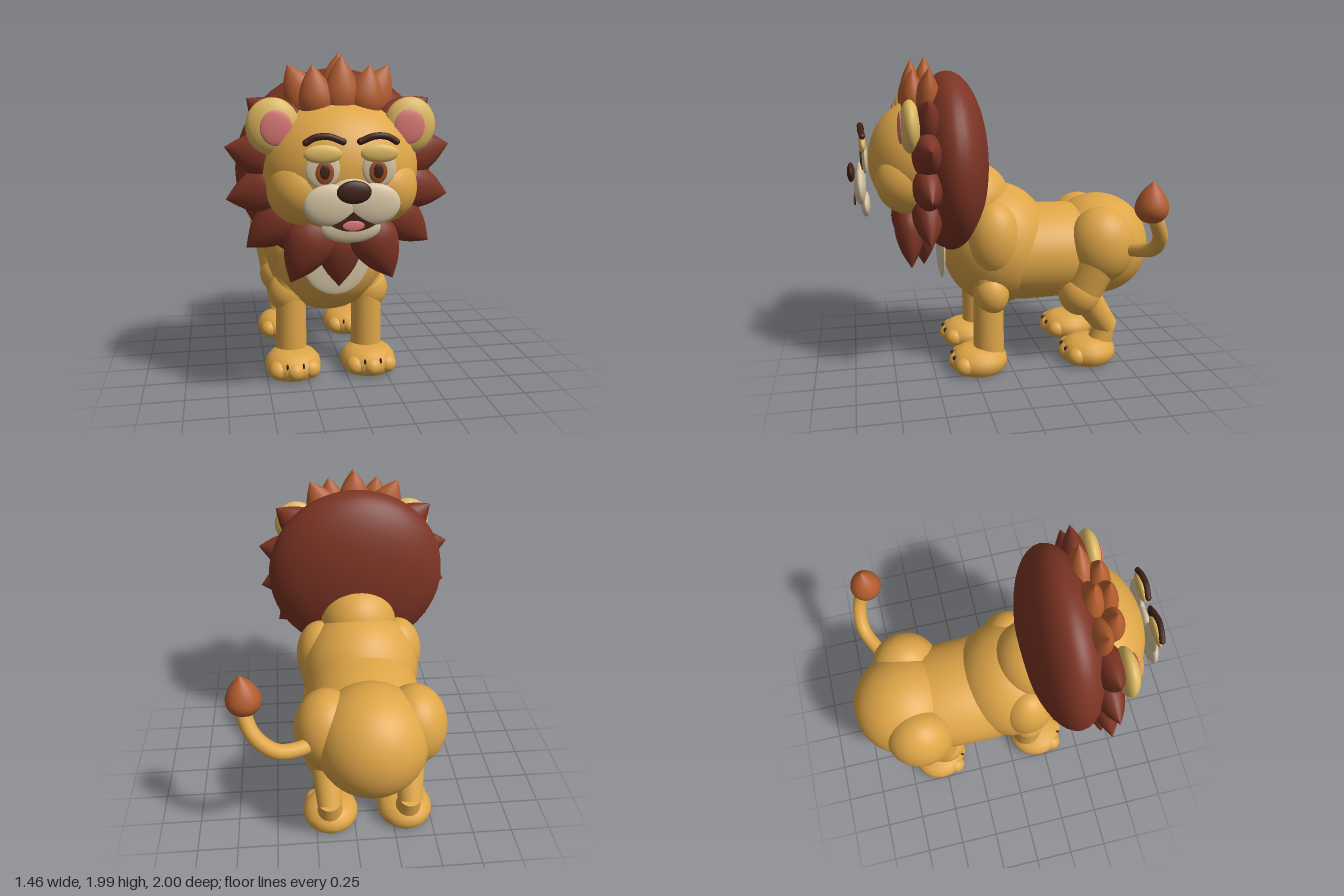
import * as THREE from 'three';

const mat = (name, color) => {
  const m = new THREE.MeshStandardMaterial({ color });
  m.name = name;
  return m;
};

export function createModel() {
  const fur = mat('golden fur', 0xdfa648);
  const maneMat = mat('dark mane', 0x7c3424);
  const tuftMat = mat('orange tuft', 0xb25c2e);
  const cream = mat('cream', 0xd6c5a3);
  const earMat = mat('pale gold', 0xdcb860);
  const pink = mat('pink', 0xd97774);
  const dark = mat('dark brown', 0x3f2119);
  const irisMat = mat('iris brown', 0x9a4a20);

  const model = new THREE.Group();
  const lion = new THREE.Group();
  lion.name = 'lion';
  lion.position.x = -0.09; // the tail reaches out to one side
  model.add(lion);

  const add = (name, geo, material, parent = lion) => {
    const m = new THREE.Mesh(geo, material);
    m.name = name;
    parent.add(m);
    return m;
  };
  const ball = new THREE.SphereGeometry(1, 40, 28);
  const blob = (name, material, p, r, parent) => {
    const m = add(name, ball, material, parent);
    m.position.set(...p);
    m.scale.set(...r);
    return m;
  };
  // tapered limb between two points
  const limb = (name, a, b, ra, rb) => {
    const A = new THREE.Vector3(...a), B = new THREE.Vector3(...b);
    const d = B.clone().sub(A);
    const m = add(name, new THREE.CylinderGeometry(rb, ra, d.length(), 28), fur);
    m.position.copy(A).addScaledVector(d, 0.5);
    m.quaternion.setFromUnitVectors(new THREE.Vector3(0, 1, 0), d.normalize());
    return m;
  };

  // Pointed teardrop used for all hair tufts
  const drop = new THREE.LatheGeometry(
    new THREE.SplineCurve([[0, 0], [0.6, 0.08], [0.95, 0.27], [0.95, 0.48], [0.6, 0.75], [0, 1]]
      .map(([x, y]) => new THREE.Vector2(x, y))).getPoints(18), 20);
  const tuft = (name, material, p, angle, w, len, t) => {
    const m = add(name, drop, material);
    m.position.set(...p);
    m.rotation.z = angle - Math.PI / 2;
    m.scale.set(w, len, t);
    return m;
  };

  // Body
  blob('rump', fur, [0, 0.745, -0.655], [0.345, 0.345, 0.345]);
  blob('chest', fur, [0, 0.785, 0.05], [0.39, 0.405, 0.36]);
  blob('neck', fur, [0, 1.08, 0.2], [0.25, 0.25, 0.24]);
  const belly = add('belly', new THREE.LatheGeometry(
    [[0.3, -0.3], [0.355, -0.2], [0.362, 0], [0.365, 0.15], [0.35, 0.3]]
      .map(([x, y]) => new THREE.Vector2(x, y)), 40), fur);
  belly.rotation.x = Math.PI / 2;
  belly.position.set(0, 0.72, -0.27);
  belly.scale.set(1, 1, 0.885);
  blob('chestPatch', cream, [0, 0.8, 0.42], [0.205, 0.225, 0.022]);

  // Paws are flat underneath
  const pawGeo = new THREE.LatheGeometry(
    [[0, 0], [0.8, 0], [0.82, 0.01], [0.95, 0.17], [1, 0.4], [0.95, 0.62], [0.78, 0.84], [0.5, 0.97], [0, 1]]
      .map(([x, y]) => new THREE.Vector2(x, y)), 36);
  const paw = (name, x, z) => {
    const g = new THREE.Group();
    g.name = name;
    g.position.set(x, 0.005, z);
    lion.add(g);
    const p = add('pad', pawGeo, fur, g);
    p.scale.set(0.178, 0.165, 0.185);
    for (const i of [-1, 0, 1]) {
      blob('toe', fur, [i * 0.1, 0.065, 0.135 - Math.abs(i) * 0.03], [0.062, 0.06, 0.065], g);
    }
    for (const i of [-1, 1]) blob('claw', dark, [i * 0.05, 0.105, 0.165], [0.007, 0.017, 0.015], g);
  };

  for (const s of [-1, 1]) {
    // Front legs
    blob('shoulder', fur, [s * 0.26, 0.87, 0.11], [0.158, 0.24, 0.17]);
    limb('frontLeg', [s * 0.245, 0.1, 0.145], [s * 0.245, 0.85, 0.15], 0.1, 0.09);
    blob('frontElbow', fur, [s * 0.255, 0.52, 0.13], [0.13, 0.14, 0.115]);
    paw('frontPaw', s * 0.243, 0.21);
    // Hind legs
    blob('hip', fur, [s * 0.26, 0.8, -0.6], [0.197, 0.25, 0.22]);
    blob('thigh', fur, [s * 0.265, 0.48, -0.46], [0.135, 0.145, 0.14]);
    limb('upperThigh', [s * 0.265, 0.48, -0.47], [s * 0.265, 0.75, -0.57], 0.125, 0.17);
    limb('shin', [s * 0.255, 0.23, -0.655], [s * 0.265, 0.48, -0.48], 0.076, 0.105);
    limb('ankle', [s * 0.25, 0.1, -0.6], [s * 0.255, 0.25, -0.645], 0.085, 0.07);
    paw('hindPaw', s * 0.243, -0.53);
  }

  // Tail
  const path = new THREE.CatmullRomCurve3([[0.26, 0.8, -0.66], [0.43, 0.8, -0.775], [0.56, 0.84, -0.83],
    [0.67, 0.94, -0.82], [0.72, 1.05, -0.77], [0.72, 1.12, -0.74]].map((p) => new THREE.Vector3(...p)));
  add('tail', new THREE.TubeGeometry(path, 40, 0.045, 16), fur);
  tuft('tailTuft', tuftMat, [0.715, 1.04, -0.735], Math.PI / 2 - 0.06, 0.102, 0.255, 0.1);

  // Mane: a broad disc behind, with a ring of tufts; the top three are orange
  blob('maneBack', maneMat, [0, 1.34, 0.36], [0.577, 0.57, 0.245]);
  for (let k = 0; k < 14; k++) {
    const a = -Math.PI / 2 + (k * Math.PI * 2) / 14;
    const top = k > 5 && k < 9;
    const r0 = top ? 0.3 : 0.27;
    const z = top ? 0.5 : 0.53 + (k === 1 || k === 13 ? 0.1 : 0);
    const len = (Math.sin(a) < -0.5 ? 0.68 : 0.655) - r0;
    tuft('maneTuft', top ? tuftMat : maneMat, [Math.cos(a) * r0, 1.34 + Math.sin(a) * r0, z],
      a, top ? 0.115 : 0.14, len, top ? 0.08 : 0.095);
  }
  for (const s of [-1, 0, 1]) {
    tuft('foreheadTuft', tuftMat, [s * 0.12, 1.62, 0.585], Math.PI / 2 - s * 0.13, 0.1, s ? 0.31 : 0.36, 0.075);
  }
  for (const s of [-1, 1]) {
    tuft('chinTuft', maneMat, [s * 0.13, 1.08, 0.62], -Math.PI / 2 + s * 0.2, 0.1, 0.25, 0.085);
  }

  // Head
  blob('head', fur, [0, 1.36, 0.52], [0.45, 0.38, 0.345]);
  for (const s of [-1, 1]) {
    blob('cheek', fur, [s * 0.23, 1.26, 0.63], [0.19, 0.2, 0.2]);
    blob('ear', earMat, [s * 0.38, 1.6, 0.625], [0.145, 0.155, 0.062]);
    blob('innerEar', pink, [s * 0.365, 1.595, 0.68], [0.086, 0.094, 0.016]);

    // Eyes and brows
    blob('eyeWhite', cream, [s * 0.148, 1.395, 0.885], [0.09, 0.095, 0.018]);
    blob('iris', irisMat, [s * 0.14, 1.38, 0.9], [0.048, 0.06, 0.009]);
    blob('pupil', dark, [s * 0.14, 1.385, 0.907], [0.026, 0.038, 0.006]);
    blob('eyelid', earMat, [s * 0.148, 1.475, 0.895], [0.1, 0.048, 0.022]);
    const brow = new THREE.CatmullRomCurve3([[0.235, 1.535, 0.895], [0.19, 1.56, 0.9], [0.12, 1.565, 0.905],
      [0.045, 1.538, 0.9]].map(([x, y, z]) => new THREE.Vector3(s * x, y, z)));
    add('brow', new THREE.TubeGeometry(brow, 20, 0.018, 10), dark);
    for (const p of [brow.points[0], brow.points[3]]) blob('browEnd', dark, p.toArray(), [0.018, 0.018, 0.018]);

    blob('muzzle', cream, [s * 0.11, 1.215, 0.92], [0.145, 0.11, 0.037]);
  }

  // Muzzle, nose and mouth
  blob('muzzleBridge', cream, [0, 1.26, 0.915], [0.12, 0.09, 0.035]);
  blob('chin', cream, [0, 1.085, 0.89], [0.158, 0.078, 0.03]);
  blob('nose', dark, [0, 1.288, 0.972], [0.09, 0.06, 0.024]);
  const mouth = new THREE.Shape();
  mouth.moveTo(-0.115, 1.115);
  mouth.quadraticCurveTo(-0.05, 1.135, 0, 1.185);
  mouth.quadraticCurveTo(0.05, 1.135, 0.115, 1.115);
  mouth.quadraticCurveTo(0.06, 1.08, 0, 1.082);
  mouth.quadraticCurveTo(-0.06, 1.08, -0.115, 1.115);
  add('mouth', new THREE.ExtrudeGeometry(mouth, { depth: 0.009, bevelEnabled: false }), dark).position.z = 0.95;
  blob('tongue', pink, [0, 1.112, 0.958], [0.058, 0.027, 0.006]);

  return model;
}
